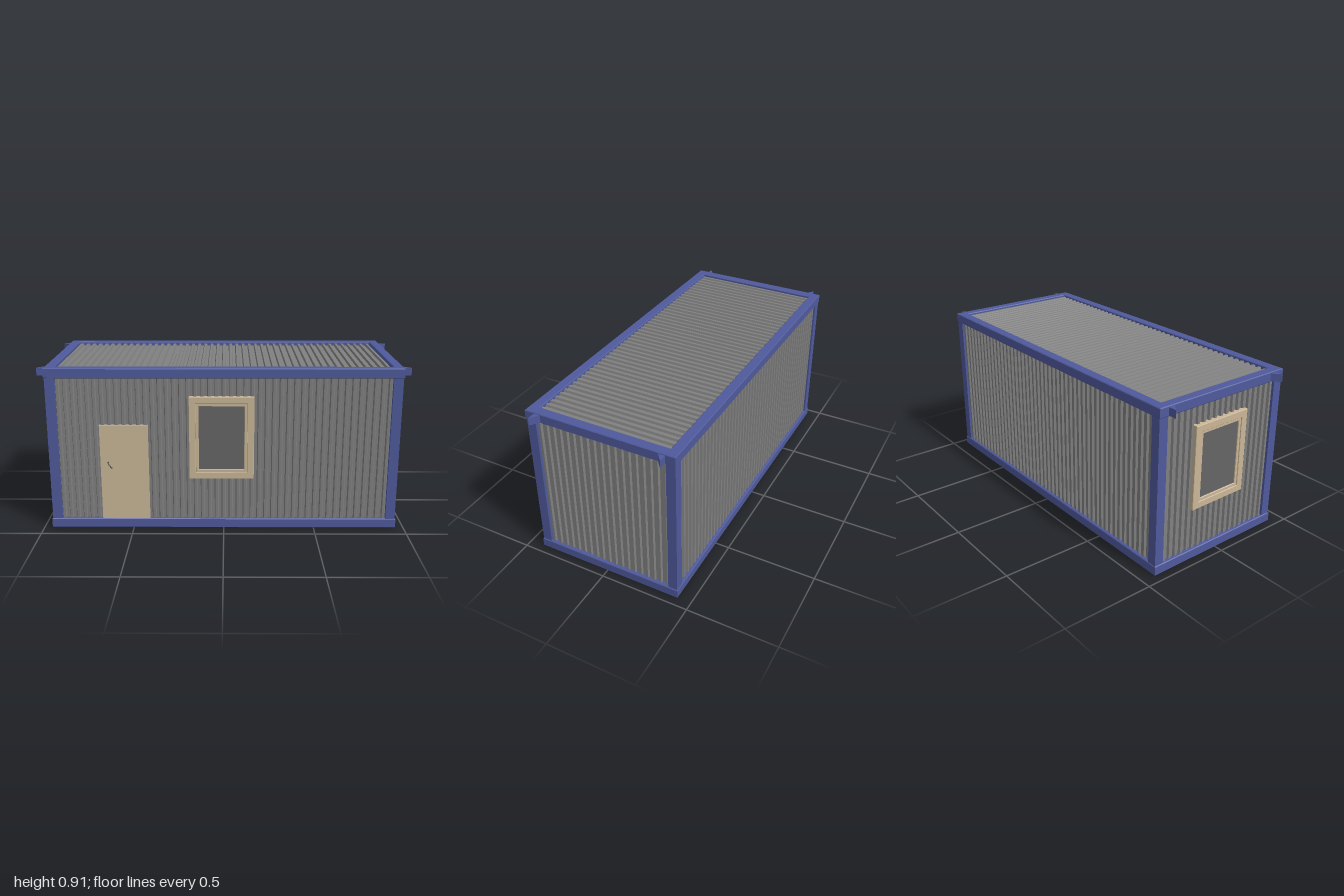
import * as THREE from 'three';

const material = (color) => new THREE.MeshStandardMaterial({ color, flatShading: true });

const CZ = -0.004; // middle of the cabin in z

// Rectangle path from half sizes
function rect(Kind, hw, hh) {
  const p = new Kind();
  p.moveTo(-hw, -hh);
  p.lineTo(hw, -hh);
  p.lineTo(hw, hh);
  p.lineTo(-hw, hh);
  p.closePath();
  return p;
}

// Rectangular ring in XY, chamfered, from z = 0 to z = depth
function ring(hw, hh, border, depth, bevel) {
  const shape = rect(THREE.Shape, hw - bevel, hh - bevel);
  shape.holes.push(rect(THREE.Path, hw - border + bevel, hh - border + bevel));
  const geo = new THREE.ExtrudeGeometry(shape, {
    depth: depth - 2 * bevel, bevelEnabled: bevel > 0,
    bevelThickness: bevel, bevelSize: bevel, bevelSegments: 1,
  });
  return geo.translate(0, 0, bevel);
}

// Trapezoidal corrugated sheet: ribs face +y, spread along x, run along z
function corrugated(width, length, count) {
  const depth = 0.012, pitch = width / count;
  const shape = new THREE.Shape();
  shape.moveTo(-width / 2, -depth - 0.008);
  shape.lineTo(width / 2, -depth - 0.008);
  for (let i = count - 1; i >= 0; i--) {
    const x = -width / 2 + i * pitch;
    [[1, -depth], [0.8, -depth], [0.68, 0], [0.32, 0], [0.2, -depth], [0, -depth]]
      .forEach(([f, y]) => shape.lineTo(x + f * pitch, y));
  }
  shape.closePath();
  return new THREE.ExtrudeGeometry(shape, { depth: length, bevelEnabled: false });
}

export function createModel() {
  const group = new THREE.Group();
  const blue = material(0x4f5a9c);
  const grey = material(0x808080);
  const beige = material(0xcbb798);
  const glassMat = material(0x666666);
  const dark = material(0x444444);

  const add = (name, geo, mat, x = 0, y = 0, z = 0, parent = group) => {
    const mesh = new THREE.Mesh(geo, mat);
    mesh.name = name;
    mesh.position.set(x, y, z);
    parent.add(mesh);
    return mesh;
  };

  // Floor and roof frames
  for (const [name, y] of [['floorFrame', 0], ['roofFrame', 0.851]]) {
    add(name, ring(0.955, 0.42, 0.054, 0.054, 0.004).rotateX(-Math.PI / 2), blue, 0, y, CZ);
  }

  // Corner posts and roof corner brackets
  for (const sx of [-1, 1]) {
    for (const sz of [-1, 1]) {
      add('cornerPost', new THREE.BoxGeometry(0.052, 0.82, 0.052), blue, sx * 0.924, 0.452, CZ + sz * 0.391);

      const outerZ = CZ + sz * 0.365;
      const tri = new THREE.Shape([
        new THREE.Vector2(sx * 0.95, -outerZ),
        new THREE.Vector2(sx * 1.0, -outerZ),
        new THREE.Vector2(sx * 0.95, -outerZ + sz * 0.04),
      ]);
      const bracket = new THREE.ExtrudeGeometry(tri, { depth: 0.042, bevelEnabled: false });
      add('cornerBracket', bracket.rotateX(-Math.PI / 2), blue, 0, 0.856, 0);
    }
  }

  // Corrugated walls
  const wall = (name, width, count, x, z, turn) => {
    const geo = corrugated(width, 0.805, count).rotateX(-Math.PI / 2);
    add(name, geo, grey, x, 0.05, z).rotation.y = turn;
  };
  wall('frontWall', 1.81, 47, 0, 0.405, Math.PI);
  wall('backWall', 1.81, 47, 0, -0.412, 0);
  wall('leftWall', 0.74, 19, 0.942, CZ, -Math.PI / 2);
  wall('rightWall', 0.74, 19, -0.942, CZ, Math.PI / 2);

  // Corrugated roof and flat underside
  add('roofSheet', corrugated(1.81, 0.74, 47), grey, 0, 0.895, CZ - 0.37);
  add('floorPanel', new THREE.BoxGeometry(1.82, 0.02, 0.75), dark, 0, 0.022, CZ);

  // Door with a bent lever handle
  add('door', new THREE.BoxGeometry(0.262, 0.54, 0.03), beige, -0.541, 0.322, 0.394);
  const handlePath = new THREE.CatmullRomCurve3([
    [-0.63, 0.383, 0.405], [-0.628, 0.38, 0.42], [-0.623, 0.372, 0.424],
    [-0.614, 0.358, 0.424], [-0.611, 0.352, 0.419], [-0.61, 0.35, 0.405],
  ].map((p) => new THREE.Vector3(...p)));
  add('doorHandle', new THREE.TubeGeometry(handlePath, 16, 0.003, 6), dark);

  // Windows: outer casing, stepped sash and glass, facing local +z
  const addWindow = (name, x, y, z, turn) => {
    const win = new THREE.Group();
    win.name = name;
    add('casing', ring(0.176, 0.23, 0.037, 0.038, 0.002), beige, 0, 0, -0.025, win);
    add('sash', ring(0.14, 0.194, 0.017, 0.03, 0.002), beige, 0, 0, -0.022, win);
    add('glass', new THREE.BoxGeometry(0.256, 0.364, 0.02), glassMat, 0, 0, -0.008, win);
    win.position.set(x, y, z);
    win.rotation.y = turn;
    group.add(win);
  };
  addWindow('frontWindow', -0.012, 0.521, 0.405, 0);
  addWindow('endWindow', -0.948, 0.521, -0.014, -Math.PI / 2);

  return group;
}
